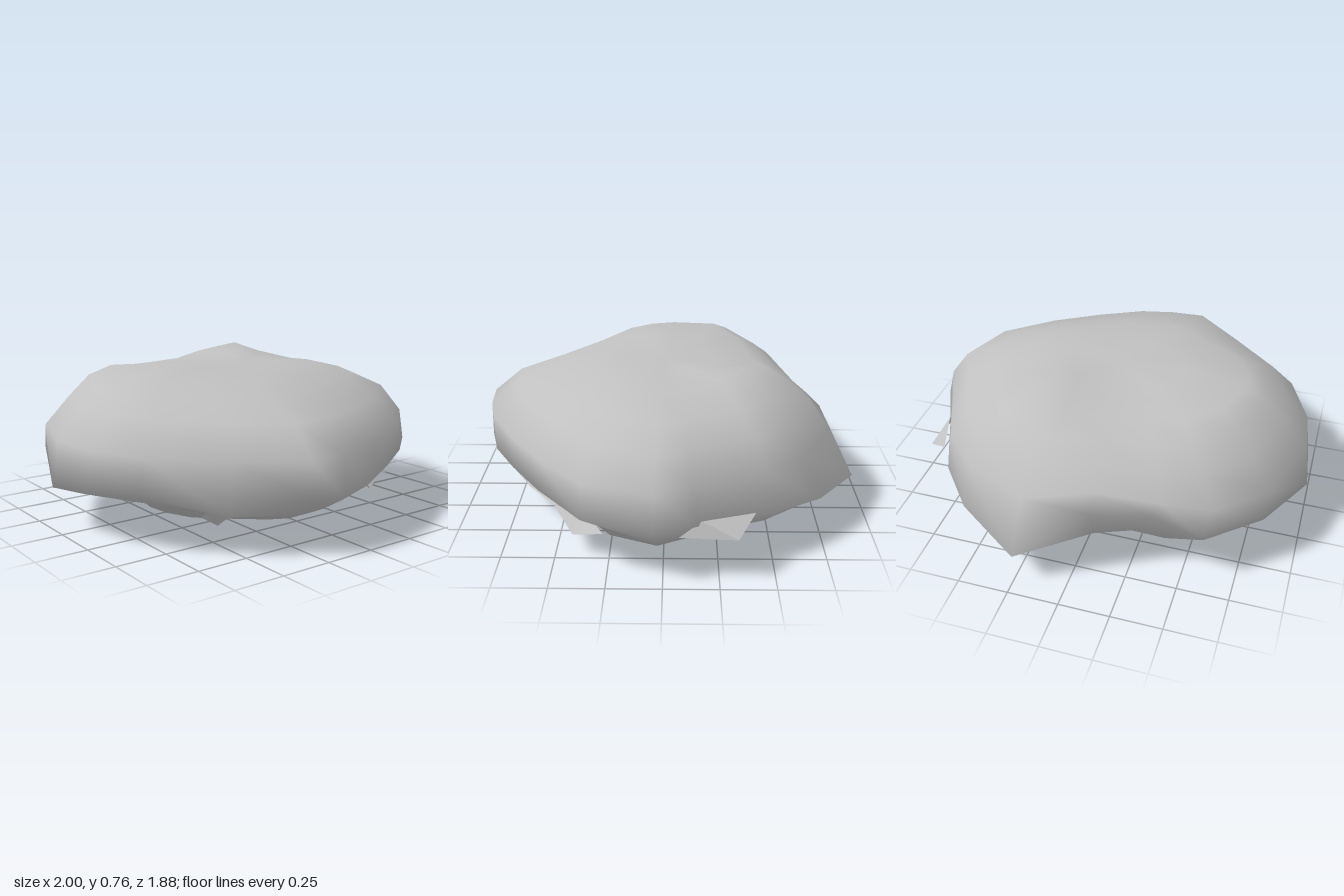
import * as THREE from 'three';
import { mergeVertices } from 'three/addons/utils/BufferGeometryUtils.js';

// Widest outline of the boulder, from left (+x) round by the front (+z):
// x, y, z, fullness above the rim, fullness in the hollow just below it
const RIM = [
  [1, 0.28, 0.04, 1, 1], [0.88, 0.27, 0.36, 1, 0.93], [0.62, 0.28, 0.58, 1, 0.87],
  [0.36, 0.27, 0.74, 1, 0.92], [0.1, 0.25, 0.87, 1, 1], [-0.1, 0.25, 0.925, 0.99, 1],
  [-0.3, 0.28, 0.93, 1, 1], [-0.56, 0.185, 0.71, 1, 1.03], [-0.85, 0.26, 0.45, 1, 1],
  [-0.97, 0.235, 0.18, 1, 1], [-1, 0.21, -0.08, 1, 1], [-0.84, 0.3, -0.49, 1.05, 1],
  [-0.6, 0.29, -0.69, 1.07, 0.95], [-0.36, 0.38, -0.7, 1.13, 0.93], [-0.1, 0.42, -0.81, 1.06, 0.9],
  [0.24, 0.18, -0.94, 1, 1], [0.57, 0.22, -0.73, 1.03, 1], [0.75, 0.25, -0.52, 1.03, 1],
  [0.91, 0.26, -0.15, 1.01, 1],
];

// Cross-sections from the bottom up: height (null follows the rim), reach to -x, +x, -z, +z
const RINGS = [
  [0, 0, 0, 0, 0],
  [0.003, 0.3, 0.25, 0.2, 0.25],
  [0.03, 0.5, 0.53, 0.39, 0.47],
  [0.085, 0.56, 0.78, 0.66, 0.64],
  [0.145, 0.7, 0.86, 0.84, 0.77],
  [null, 1, 1, 0.94, 0.93],
  [0.43, 0.97, 0.96, 0.81, 0.935],
  [0.565, 0.85, 0.86, 0.72, 0.78],
  [0.64, 0.75, 0.7, 0.61, 0.56],
  [0.695, 0.65, 0.48, 0.48, 0.41],
  [0.71, 0.34, 0.25, 0.26, 0.2],
  [0.712, 0, 0, 0, 0],
];

// Rises on the upper surface: x, z, height, spread
const BUMPS = [[0.26, -0.4, 0.07, 0.17], [-0.42, 0, 0.035, 0.22], [-0.68, -0.28, 0.04, 0.16]];

function geometryFrom(points, faces) {
  const geo = new THREE.BufferGeometry();
  geo.setAttribute('position', new THREE.Float32BufferAttribute(points.flat(), 3));
  geo.setIndex(faces);
  return geo;
}

function boulderGeometry() {
  const points = [], faces = [], n = RIM.length;
  for (const [h, left, right, back, front] of RINGS) {
    for (const [rx, ry, rz, upper, hollow] of RIM) {
      let full = 1;
      if (h > 0.4) full = upper;
      else if (h > 0.1) full = hollow;
      const x = rx * (rx > 0 ? right : left) * full;
      const z = (rz > 0 ? rz / 0.93 * front : rz / 0.94 * back) * full;
      let y = h === null ? ry : h;
      if (h > 0.4) y = Math.max(y, ry + 0.07);
      if (y > 0.6) {
        for (const [bx, bz, rise, s] of BUMPS) {
          y += rise * Math.exp(-((x - bx) ** 2 + (z - bz) ** 2) / (s * s));
        }
      }
      points.push([x, y, z]);
    }
  }
  for (let i = 0; i < RINGS.length - 1; i++) {
    for (let j = 0; j < n; j++) {
      const k = (j + 1) % n;
      const a = i * n + j, b = i * n + k, c = a + n, d = b + n;
      if (i < RINGS.length - 2) faces.push(a, c, d);
      if (i > 0) faces.push(a, d, b);
    }
  }
  const geo = mergeVertices(geometryFrom(points, faces), 1e-4);
  geo.computeVertexNormals();
  return geo;
}

// Thin broken flake of stone
function flake(name, points, faces, material) {
  const geo = geometryFrom(points, faces).toNonIndexed();
  geo.computeVertexNormals();
  const mesh = new THREE.Mesh(geo, material);
  mesh.name = name;
  return mesh;
}

export function createModel() {
  const group = new THREE.Group();
  group.name = 'boulder';
  const stone = new THREE.MeshStandardMaterial({ color: 0xc0c0c0 });
  stone.name = 'grey stone';
  stone.side = THREE.DoubleSide;

  const body = new THREE.Mesh(boulderGeometry(), stone);
  body.name = 'rockBody';
  group.add(body);

  // Jagged ledge under the front overhang
  group.add(flake('frontLedge', [
    [0.2, 0.205, 0.78], [0.27, 0.225, 0.6], [0.56, 0.235, 0.43], [0.62, 0.185, 0.38],
    [0.8, 0.155, 0.27], [0.7, 0.095, 0.42], [0.55, 0.165, 0.52], [0.32, 0.145, 0.67],
  ], [0, 7, 1, 7, 2, 1, 7, 6, 2, 6, 3, 2, 6, 5, 3, 5, 4, 3], stone));

  // Pointed chip on the left side
  group.add(flake('sideChip', [
    [0.92, 0.21, -0.07], [0.9, 0.28, -0.17], [0.82, 0.28, -0.41], [0.94, 0.21, -0.33],
  ], [0, 3, 1, 3, 2, 1], stone));

  // Small chip low on the front
  group.add(flake('lowerChip', [
    [-0.52, 0.17, 0.52], [-0.43, 0.15, 0.58], [-0.45, 0.06, 0.47], [-0.53, 0.11, 0.45],
  ], [0, 3, 2, 0, 2, 1], stone));

  return group;
}
